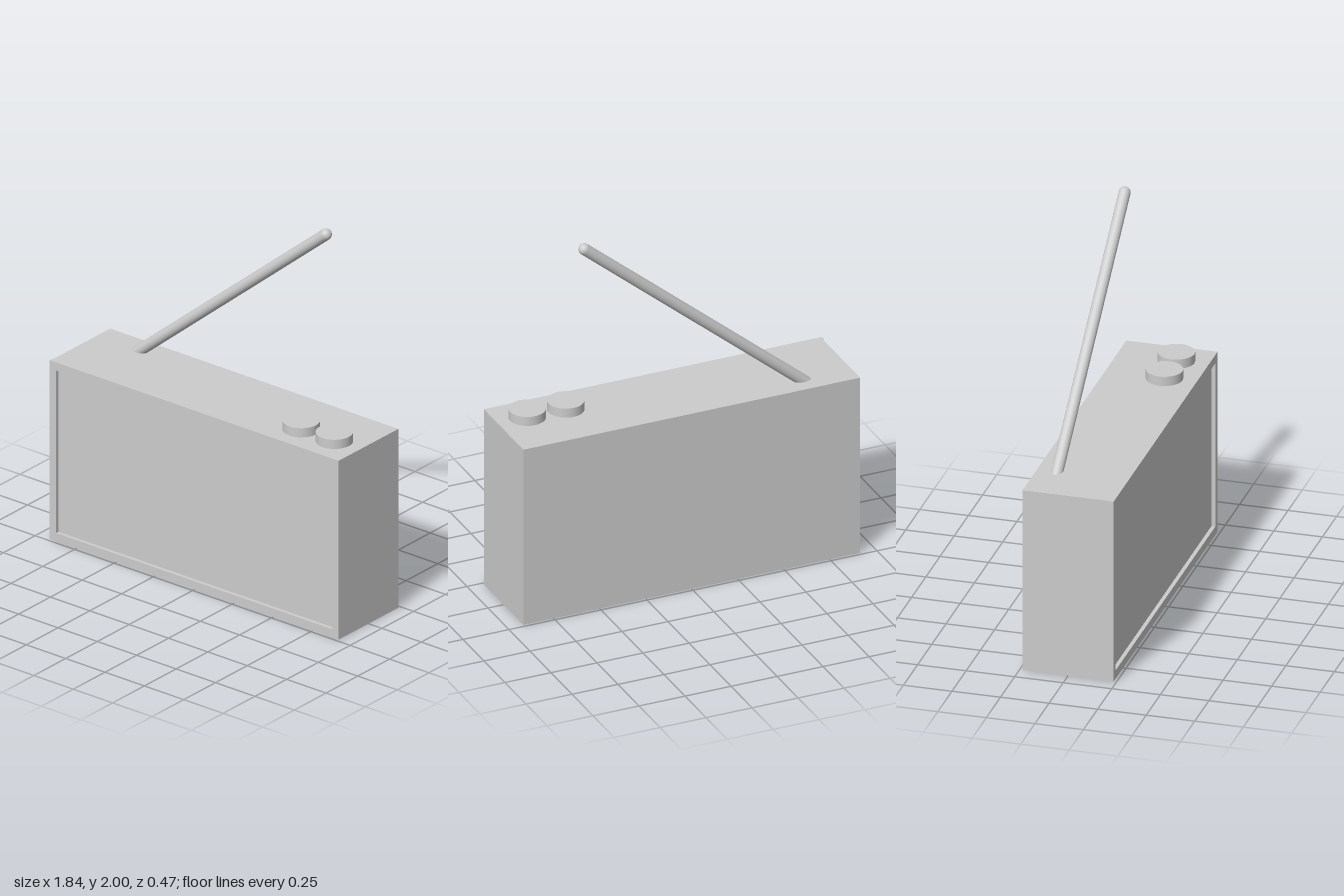
import * as THREE from 'three';

const material = new THREE.MeshStandardMaterial({ color: 0xcccccc });

function add(group, name, geometry, x, y, z) {
  const mesh = new THREE.Mesh(geometry, material);
  mesh.name = name;
  mesh.position.set(x, y, z);
  group.add(mesh);
  return mesh;
}

// Rectangle outline, usable as a shape or a hole
function rectangle(path, x0, y0, x1, y1) {
  path.moveTo(x0, y0);
  path.lineTo(x1, y0);
  path.lineTo(x1, y1);
  path.lineTo(x0, y1);
  path.closePath();
  return path;
}

export function createModel() {
  const radio = new THREE.Group();
  radio.name = 'radio';

  // Case: its front face is the recessed panel
  add(radio, 'case', new THREE.BoxGeometry(1.83, 0.98, 0.45), 0, 0.49, -0.01);

  // Thin raised border around the front panel
  const border = rectangle(new THREE.Shape(), -0.92, 0, 0.915, 0.98);
  border.holes.push(rectangle(new THREE.Path(), -0.88, 0.045, 0.875, 0.935));
  add(radio, 'frontFrame',
    new THREE.ExtrudeGeometry(border, { depth: 0.02, bevelEnabled: false }), 0, 0, 0.215);

  // Two dials on top
  const dial = new THREE.CylinderGeometry(0.093, 0.093, 0.05, 48);
  for (const [name, x] of [['innerDial', 0.545], ['outerDial', 0.755]]) {
    add(radio, name, dial, x, 1.005, 0.07);
  }

  // Slanted round-ended antenna, its foot sunk into the case
  const radius = 0.03;
  const foot = new THREE.Vector3(-0.675, 0.955, -0.133);
  const tip = new THREE.Vector3(0.537, 1.97, -0.133);
  const along = tip.clone().sub(foot);
  const antenna = add(radio, 'antenna',
    new THREE.CapsuleGeometry(radius, along.length(), 10, 32), 0, 0, 0);
  antenna.position.copy(foot).add(tip).multiplyScalar(0.5);
  antenna.quaternion.setFromUnitVectors(new THREE.Vector3(0, 1, 0), along.normalize());

  return radio;
}
